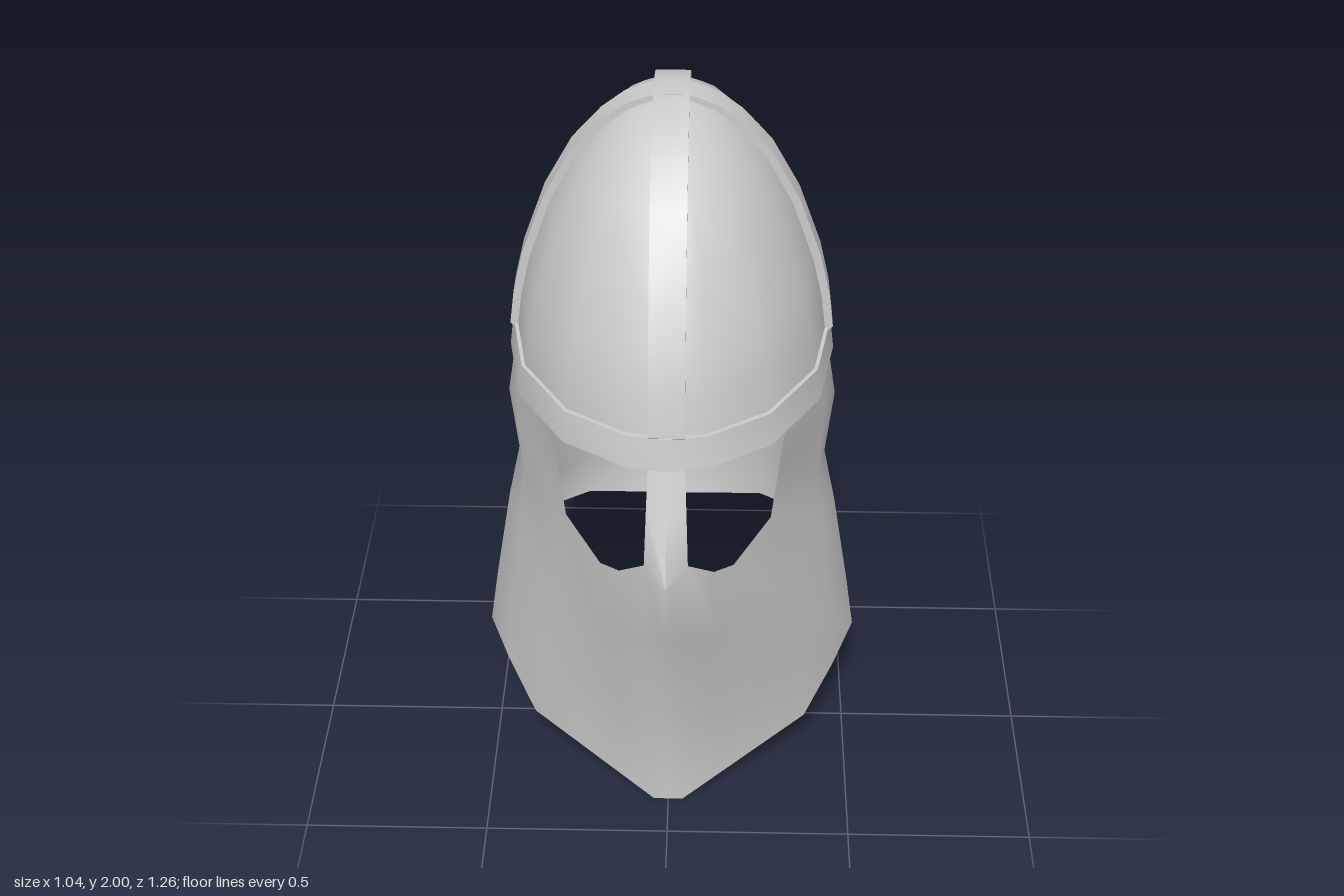
import * as THREE from 'three';
import { toCreasedNormals } from 'three/addons/utils/BufferGeometryUtils.js';

const CENTRE_Z = -0.05;
const lerp = THREE.MathUtils.lerp;

// Half plan of the skull [x, z], front centre to back centre on the +x side
const PLAN = [[0, 0.51], [0.1, 0.49], [0.25, 0.39], [0.37, 0.19], [0.41, -0.05],
  [0.37, -0.29], [0.25, -0.5], [0.1, -0.6], [0, -0.605]];

// Dome profile: [scale of plan, height]
const PROFILE = [[0.001, 1.985], [0.14, 1.978], [0.28, 1.955], [0.42, 1.91], [0.6, 1.825],
  [0.77, 1.695], [0.91, 1.53], [0.97, 1.42], [1, 1.32]];

// Face columns from nose ridge to outer eye corner: brow, eye level, cheek, jaw, lower edge
const FACE = [
  [[0, 1.28, 0.51], [0, 0.95, 0.627], [0, 0.72, 0.543], [0, 0.3, 0.39], [0, 0, 0.37]],
  [[0.045, 1.28, 0.505], [0.055, 0.995, 0.585], [0.06, 0.72, 0.53], [0.05, 0.3, 0.385], [0.04, 0, 0.37]],
  [[0.1, 1.28, 0.48], [0.12, 0.935, 0.53], [0.13, 0.7, 0.49], [0.14, 0.31, 0.345], [0.15, 0.055, 0.315]],
  [[0.17, 1.28, 0.44], [0.17, 0.92, 0.48], [0.19, 0.7, 0.44], [0.21, 0.33, 0.31], [0.21, 0.085, 0.285]],
  [[0.3, 1.28, 0.33], [0.265, 0.965, 0.335], [0.31, 0.7, 0.31], [0.37, 0.4, 0.23], [0.38, 0.17, 0.2]],
];

// Guard columns from temple to nape: [x, z] at the brow, height of lower edge, share of back flare
const GUARD = [[0.39, 0.06, 0.245, 0.3], [0.41, -0.05, 0.305, 0], [0.37, -0.29, 0.49, 0.2],
  [0.25, -0.48, 0.44, 0.9], [0.1, -0.58, 0.365, 1], [0, -0.583, 0.36, 1]];

// Flare of the guard per row: [side widening, back deepening]
const FLARE = [[1, 1], [1.07, 0.985], [1.02, 0.99], [1.1, 0.93], [1.21, 1.08], [1.27, 1.03]];

const material = new THREE.MeshStandardMaterial({ color: 0xcccccc, side: THREE.DoubleSide });

// Complete a half ring of [x, y, z] points by mirroring it in x
function mirrorRing(half) {
  const other = half.slice(1, -1).reverse().map(([x, y, z]) => [-x, y, z]);
  return [...half, ...other];
}

// Plan ring at a given scale and height
function planRing(scale, y) {
  return mirrorRing(PLAN.map(([x, z]) => [x * scale, y, CENTRE_Z + (z - CENTRE_Z) * scale]));
}

// Add a row halfway between brow and eye level
function faceColumn([brow, eye, ...rest]) {
  return [brow, brow.map((v, i) => lerp(v, eye[i], 0.5)), eye, ...rest];
}

// Drop a guard column from the brow, flaring sideways at the side and backwards at the nape
function guardColumn([x, z, edge, back]) {
  const heights = [1.28, 1.1, 0.91, 0.75, lerp(edge, 0.75, 0.38), edge];
  return FLARE.map(([wide, deep], r) => [
    x * lerp(wide, 1, back), heights[r], CENTRE_Z + (z - CENTRE_Z) * lerp(1, deep, back)]);
}

// Skin closed rings listed from top to bottom; cells flagged by skip stay open
function loft(rings, skip = () => false) {
  const n = rings[0].length;
  const index = [];
  for (let r = 0; r < rings.length - 1; r++) {
    for (let j = 0; j < n; j++) {
      if (skip(r, j, n)) continue;
      const a = r * n + j, b = r * n + (j + 1) % n, c = b + n, d = a + n;
      index.push(a, d, c, a, c, b);
    }
  }
  const geometry = new THREE.BufferGeometry();
  geometry.setAttribute('position', new THREE.Float32BufferAttribute(rings.flat(2), 3));
  geometry.setIndex(index);
  geometry.computeVertexNormals();
  return geometry;
}

// Raised arch over the dome; front and back are its reach at the rim
function strapGeometry(front, back, width) {
  const arch = (grow) => {
    const side = (reach) => PROFILE.map(([s, y]) => new THREE.Vector2(s * (reach + Math.sign(reach) * grow), y + grow));
    return [...side(front).reverse(), ...side(back)];
  };
  const shape = new THREE.Shape([...arch(0.013), ...arch(-0.01).reverse()]);
  const geometry = new THREE.ExtrudeGeometry(shape, { depth: width, bevelEnabled: false });
  geometry.translate(0, 0, -width / 2);
  return toCreasedNormals(geometry, 0.6);
}

export function createModel() {
  const group = new THREE.Group();
  const add = (name, geometry) => {
    const mesh = new THREE.Mesh(geometry, material);
    mesh.name = name;
    mesh.position.z = 0;
    group.add(mesh);
    return mesh;
  };

  // Egg-shaped skull cap
  add('dome', loft(PROFILE.map(([s, y]) => planRing(s, y))));

  // Crossing reinforcement straps
  const lengthStrap = add('lengthwiseStrap', strapGeometry(0.555, -0.56, 0.09));
  lengthStrap.rotation.y = -Math.PI / 2;
  lengthStrap.position.z = CENTRE_Z;
  const crossStrap = add('crosswiseStrap', strapGeometry(0.41, -0.41, 0.08));
  crossStrap.position.z = CENTRE_Z;

  // Brow band, a closed loop in section
  const band = [[0.97, 1.33], [1.02, 1.33], [1.045, 1.245], [0.985, 1.245], [0.97, 1.33]];
  add('browBand', toCreasedNormals(loft(band.map(([s, y]) => planRing(s, y))), 0.8));

  // Face mask and neck guard in one sheet, with two eye openings
  const columns = [...FACE.map(faceColumn), ...GUARD.map(guardColumn)];
  const rings = FLARE.map((_, r) => mirrorRing(columns.map((column) => column[r])));
  const eyeOpening = (r, j, n) => {
    const k = Math.min(j, n - 1 - j);
    return r < 2 && k >= 1 && k <= 3;
  };
  add('faceMaskAndNeckGuard', toCreasedNormals(loft(rings, eyeOpening), 0.75));

  return group;
}
